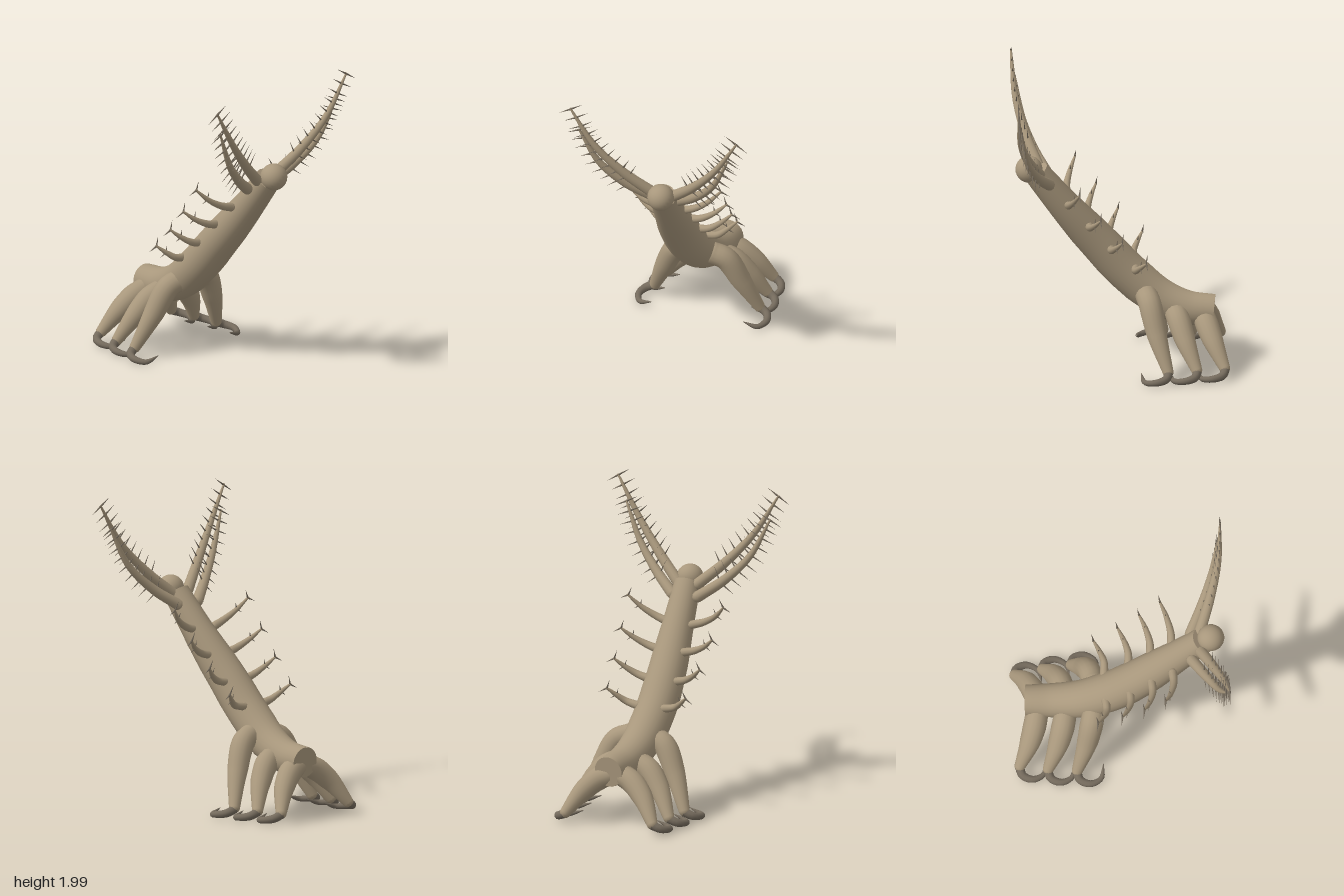
import * as THREE from 'three';

const skin = new THREE.MeshStandardMaterial({ color: 0xa8977c });
skin.name = 'tan skin';
const horn = new THREE.MeshStandardMaterial({ color: 0x756b5d });
horn.name = 'dark horn';

const vec = (p) => new THREE.Vector3(...p);

// Mirrors a list of points to one side of the plane x = plane
const onSide = (points, side, plane) => points.map(([x, y, z]) => [plane + side * x, y, z]);

function add(parent, geometry, material, name) {
  const mesh = new THREE.Mesh(geometry, material);
  mesh.name = name;
  parent.add(mesh);
  return mesh;
}

function ball(parent, name, p, r, material, segments = 16) {
  return add(parent, new THREE.SphereGeometry(r, segments, segments / 2), material, name).position.set(...p);
}

// Smooth tube whose radius follows a list of evenly spaced values
function taperedTube(parent, name, points, radii, material, steps = 16, sides = 12) {
  const curve = new THREE.CatmullRomCurve3(points.map(vec));
  const geometry = new THREE.TubeGeometry(curve, steps, 1, sides);
  const pos = geometry.attributes.position;
  const v = new THREE.Vector3();
  for (let i = 0; i <= steps; i++) {
    const centre = curve.getPointAt(i / steps);
    const t = (i / steps) * (radii.length - 1);
    const k = Math.min(Math.floor(t), radii.length - 2);
    const r = THREE.MathUtils.lerp(radii[k], radii[k + 1], t - k);
    for (let j = 0; j <= sides; j++) {
      const n = i * (sides + 1) + j;
      v.fromBufferAttribute(pos, n).sub(centre).multiplyScalar(r).add(centre);
      pos.setXYZ(n, v.x, v.y, v.z);
    }
  }
  geometry.computeBoundingSphere();
  add(parent, geometry, material, name);
  return curve;
}

// Thin cone growing from a point along a direction
function spike(parent, base, direction, length, radius) {
  const dir = direction.clone().normalize();
  const geometry = new THREE.ConeGeometry(radius, length, 5).translate(0, length / 2, 0);
  const mesh = add(parent, geometry, horn, 'spine');
  mesh.position.copy(base);
  mesh.quaternion.setFromUnitVectors(new THREE.Vector3(0, 1, 0), dir);
}

// Direction across a curve in the front plane
const across = (d) => new THREE.Vector3(d.y, -d.x, 0).normalize();

function buildBody(model) {
  const body = new THREE.Group();
  body.name = 'body';
  model.add(body);
  const curve = taperedTube(body, 'trunk', [
    [0.01, 1.33, 0.54], [-0.01, 1.08, 0.35], [-0.035, 0.82, 0.135], [-0.04, 0.61, -0.05],
    [-0.025, 0.45, -0.24], [0, 0.375, -0.42], [0.015, 0.36, -0.6],
  ], [0.085, 0.1, 0.12, 0.13, 0.13, 0.115, 0.1], skin, 36, 24);
  // Flat ends of the trunk
  for (const [t, r, sign] of [[0, 0.085, -1], [1, 0.1, 1]]) {
    const cap = add(body, new THREE.CircleGeometry(r, 24), skin, 'trunkEnd');
    cap.position.copy(curve.getPointAt(t));
    cap.quaternion.setFromUnitVectors(new THREE.Vector3(0, 0, 1), curve.getTangentAt(t).multiplyScalar(sign));
  }
  ball(model, 'head', [0.015, 1.355, 0.587], 0.087, skin, 28);
}

// Three pairs of stout legs with hooked claws
function buildLeg(model, side, hipY, dx, dz) {
  const leg = new THREE.Group();
  leg.name = side > 0 ? 'leftLeg' : 'rightLeg';
  model.add(leg);
  const place = (pts) => onSide(pts.map(([x, y, z]) => [x + dx, y, z + dz]), side, -0.015);
  const limb = place([
    [0.09, hipY, -0.165], [0.17, hipY - 0.035, -0.185],
    [0.265, hipY * 0.45 + 0.06, -0.225], [0.36, 0.07, -0.29],
  ]);
  taperedTube(leg, 'limb', limb, [0.073, 0.075, 0.068, 0.052, 0.036], skin, 20, 16);
  ball(leg, 'hip', limb[0], 0.073, skin);
  ball(leg, 'ankle', limb[3], 0.036, skin);
  taperedTube(leg, 'claw', place([
    [0.36, 0.065, -0.295], [0.415, 0.04, -0.275], [0.44, 0.027, -0.21],
    [0.405, 0.018, -0.14], [0.315, 0.045, -0.12],
  ]), [0.03, 0.026, 0.021, 0.016, 0.002], horn, 18, 10);
}

// Long raised arms with a row of spines on both edges
function buildArm(model, side, points, plane, count) {
  const arm = new THREE.Group();
  arm.name = side > 0 ? 'leftArm' : 'rightArm';
  model.add(arm);
  const pts = onSide(points, side, plane);
  const curve = taperedTube(arm, 'armStem', pts, [0.037, 0.032, 0.025, 0.017, 0.006], skin, 24, 12);
  ball(arm, 'armRoot', pts[0], 0.037, skin, 12);
  for (let i = 0; i < count; i++) {
    const t = 0.24 + (0.75 * i) / (count - 1);
    const d = curve.getTangentAt(t);
    const lean = d.clone().multiplyScalar(0.35 * (1 - t));
    for (const edge of [-1, 1]) {
      const dir = across(d).multiplyScalar(edge).add(lean);
      spike(arm, curve.getPointAt(t), dir, 0.125 - 0.03 * t, 0.007);
    }
  }
}

// Slender side feelers with a forked tip
function buildFeeler(model, side, y, z, reach, rise) {
  const feeler = new THREE.Group();
  feeler.name = side > 0 ? 'leftFeeler' : 'rightFeeler';
  model.add(feeler);
  const pts = onSide([
    [0.09, y, z], [0.17, y + rise * 0.16, z + 0.002],
    [0.09 + reach * 0.68, y + rise * 0.5, z - 0.022], [0.09 + reach, y + rise, z - 0.062],
  ], side, -0.035);
  const curve = taperedTube(feeler, 'feelerStem', pts, [0.028, 0.023, 0.016, 0.006], skin, 14, 10);
  ball(feeler, 'feelerRoot', pts[0], 0.028, skin, 12);
  for (const [t, edges, length] of [[0.65, [-1, 1], 0.05], [0.97, [-1, 1], 0.065]]) {
    const d = curve.getTangentAt(t);
    for (const edge of edges) {
      const dir = across(d).multiplyScalar(edge).addScaledVector(d, 0.4);
      spike(feeler, curve.getPointAt(t), dir, length, 0.007);
    }
  }
}

export function createModel() {
  const model = new THREE.Group();
  model.name = 'spinyCrawler';
  buildBody(model);
  for (const side of [-1, 1]) {
    buildLeg(model, side, 0.49, 0, 0);
    buildLeg(model, side, 0.37, -0.02, -0.185);
    buildLeg(model, side, 0.33, -0.05, -0.365);
    buildArm(model, side, [
      [0.07, 1.335, 0.52], [0.24, 1.49, 0.595], [0.41, 1.685, 0.655], [0.575, 1.95, 0.677],
    ], 0, 10);
    buildArm(model, side, [
      [0.09, 1.27, 0.46], [0.24, 1.38, 0.54], [0.39, 1.54, 0.61], [0.515, 1.79, 0.655],
    ], -0.01, 9);
    buildFeeler(model, side, 1.12, 0.335, 0.255, 0.165);
    buildFeeler(model, side, 0.97, 0.2, 0.24, 0.13);
    buildFeeler(model, side, 0.81, 0.06, 0.22, 0.125);
    buildFeeler(model, side, 0.67, -0.095, 0.195, 0.11);
  }
  return model;
}
